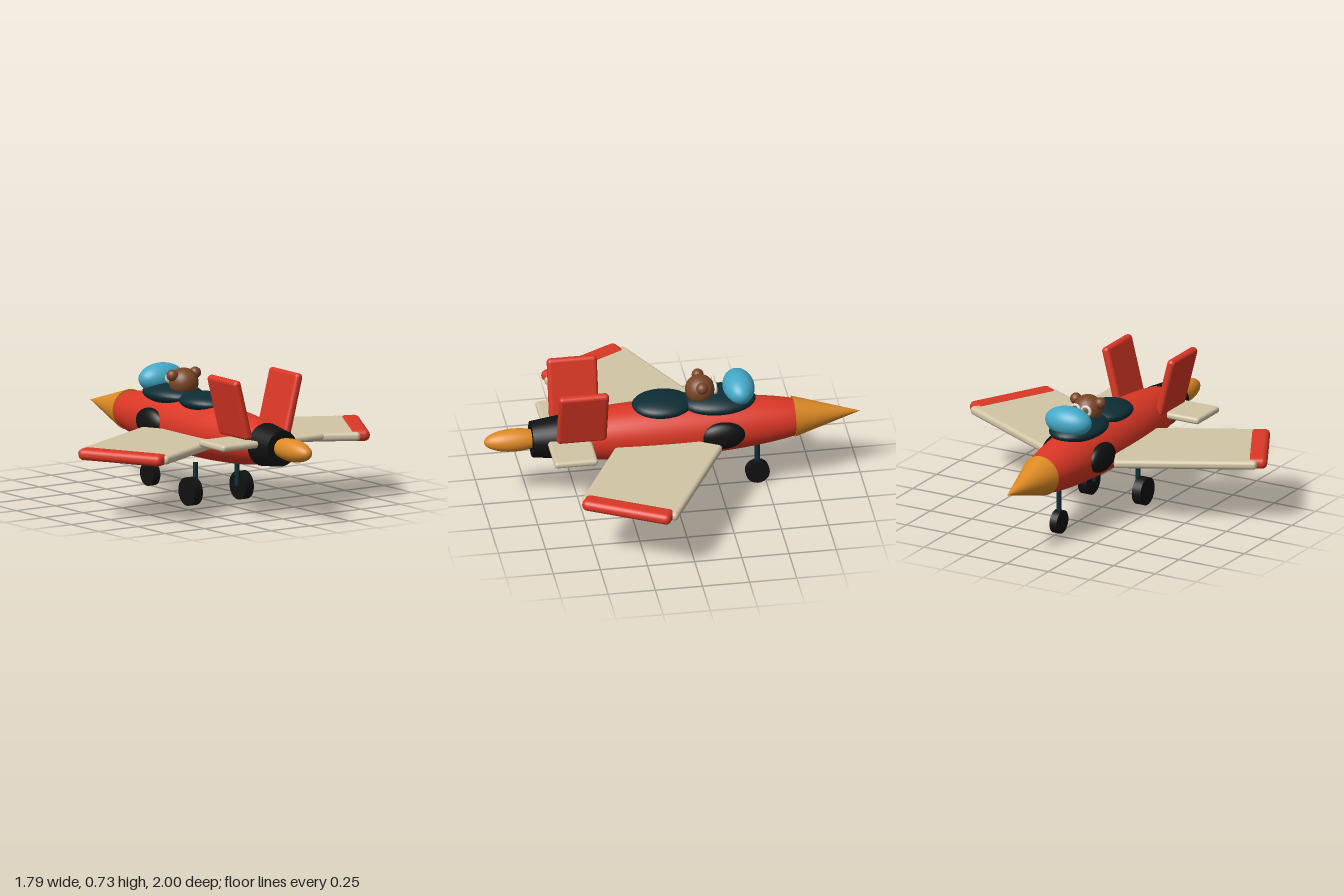
import * as THREE from 'three';
import { RoundedBoxGeometry } from 'three/addons/geometries/RoundedBoxGeometry.js';

const mat = (name, color) => {
  const m = new THREE.MeshStandardMaterial({ color });
  m.name = name;
  return m;
};

export function createModel() {
  const red = mat('red paint', 0xdb3725);
  const cream = mat('cream paint', 0xd3c5a6);
  const orange = mat('orange', 0xdd8a24);
  const teal = mat('dark teal', 0x0d2d35);
  const blue = mat('windshield blue', 0x42a9c8);
  const brown = mat('brown fur', 0x7a4526);
  const black = mat('black rubber', 0x111111);
  const white = mat('goggle white', 0xf0e8d8);

  const plane = new THREE.Group();
  plane.name = 'toyPlane';
  const axisY = 0.377; // height of the fuselage axis

  const add = (name, geometry, material, x, y, z) => {
    const mesh = new THREE.Mesh(geometry, material);
    mesh.name = name;
    mesh.position.set(x, y, z);
    plane.add(mesh);
    return mesh;
  };
  const ball = (name, material, x, y, z, rx, ry = rx, rz = rx) => {
    const mesh = add(name, new THREE.SphereGeometry(1, 32, 20), material, x, y, z);
    mesh.scale.set(rx, ry, rz);
    return mesh;
  };
  const slab = (name, material, x, y, z, w, h, d, r) =>
    add(name, new RoundedBoxGeometry(w, h, d, 4, r), material, x, y, z);

  // Fuselage: an ellipsoid cut off at nose and tail
  const profile = [];
  for (let i = 0; i <= 32; i++) {
    const z = -0.68 + (1.38 * i) / 32;
    profile.push(new THREE.Vector2(Math.sqrt(1 - (z / 0.84) ** 2), z));
  }
  const hull = new THREE.LatheGeometry(profile, 40).rotateX(Math.PI / 2).scale(0.162, 0.153, 1);
  add('fuselage', hull, red, 0, axisY - 0.002, 0);

  // Nose cone, exhaust nozzle and flame
  add('noseCone', new THREE.ConeGeometry(0.108, 0.355, 32).rotateX(-Math.PI / 2), orange, 0, axisY, -0.8225);
  add('exhaustNozzle', new THREE.CylinderGeometry(0.095, 0.115, 0.15, 32).rotateX(Math.PI / 2), black, 0, axisY - 0.004, 0.67);
  ball('exhaustFlame', orange, 0, axisY, 0.835, 0.062, 0.06, 0.16);

  // Cockpit humps and windshield
  ball('rearCockpit', teal, 0, 0.522, 0.05, 0.13, 0.05, 0.16);
  ball('frontCockpit', teal, 0, 0.522, -0.245, 0.14, 0.055, 0.2);
  ball('windshield', blue, 0, 0.589, -0.355, 0.133, 0.079, 0.083);

  // Bear pilot looking over the nose
  ball('pilotHead', brown, 0, 0.593, -0.15, 0.078);
  ball('pilotMuzzle', brown, 0, 0.572, -0.222, 0.034, 0.026, 0.026);

  // Parts mirrored left and right
  for (const [side, s] of [['left', 1], ['right', -1]]) {
    ball(side + 'PilotEar', brown, s * 0.073, 0.638, -0.15, 0.031);
    add(side + 'Goggle', new THREE.TorusGeometry(0.024, 0.008, 10, 24), white, s * 0.032, 0.61, -0.226);

    const wing = slab(side + 'Wing', cream, s * 0.4125, 0.346, 0.17, 0.75, 0.046, 0.53, 0.02);
    wing.rotation.y = -s * 0.49;
    const tip = slab(side + 'WingTip', red, s * 0.744, 0.348, 0.352, 0.1, 0.06, 0.49, 0.028);
    tip.rotation.y = -s * 0.49;

    const fin = slab(side + 'TailFin', red, s * 0.161, 0.572, 0.497, 0.045, 0.33, 0.265, 0.02);
    fin.rotation.z = -s * 0.25;

    ball(side + 'AirIntake', black, s * 0.14, 0.38, -0.25, 0.048, 0.077, 0.118);

    add(side + 'GearStrut', new THREE.CylinderGeometry(0.013, 0.013, 0.15, 16), teal, s * 0.133, 0.15, 0.145);
    add(side + 'MainWheel', new THREE.CylinderGeometry(0.075, 0.075, 0.052, 24).rotateZ(Math.PI / 2), black, s * 0.163, 0.075, 0.145);
  }

  // Tailplane runs straight through the fuselage
  slab('tailplane', cream, 0, 0.391, 0.556, 0.65, 0.036, 0.23, 0.016);

  // Nose gear
  add('noseStrut', new THREE.CylinderGeometry(0.014, 0.014, 0.22, 16), teal, 0, 0.17, -0.455);
  add('noseWheel', new THREE.CylinderGeometry(0.063, 0.063, 0.042, 24).rotateZ(Math.PI / 2), black, 0, 0.063, -0.455);

  return plane;
}
